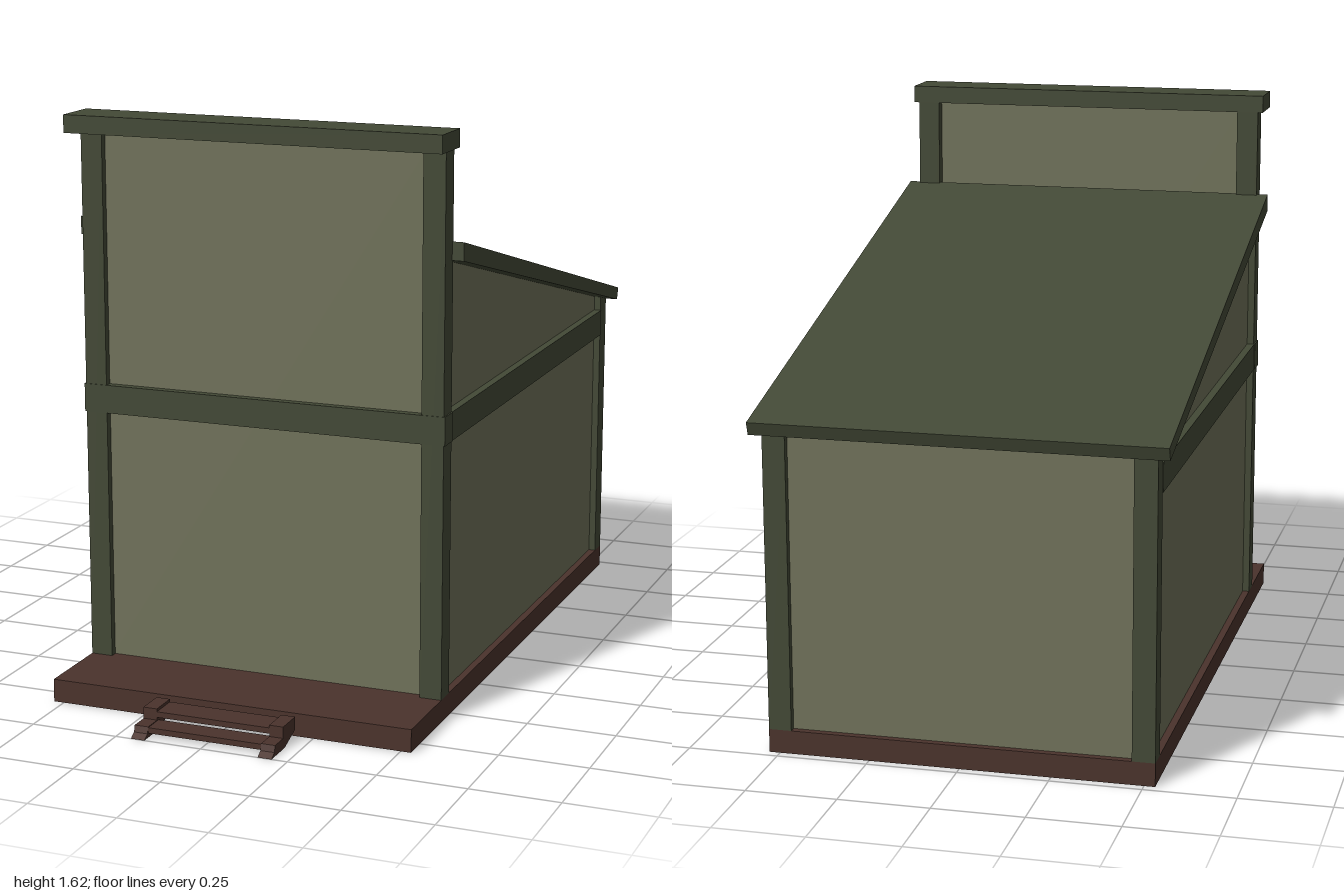
import * as THREE from 'three';

const mat = (name, color) => {
  const m = new THREE.MeshStandardMaterial({ color });
  m.name = name;
  return m;
};

export function createModel() {
  const panel = mat('olive panel', 0x70725a);
  const trim = mat('dark green trim', 0x434936);
  const wood = mat('brown wood', 0x4b332c);
  const model = new THREE.Group();
  model.name = 'shed';

  const add = (name, geo, material) => {
    const mesh = new THREE.Mesh(geo, material);
    mesh.name = name;
    model.add(mesh);
    return mesh;
  };
  // Box given by its limits on each axis
  const box = (name, material, x0, x1, y0, y1, z0, z1) => {
    const geo = new THREE.BoxGeometry(x1 - x0, y1 - y0, z1 - z0);
    geo.translate((x0 + x1) / 2, (y0 + y1) / 2, (z0 + z1) / 2);
    return add(name, geo, material);
  };
  // Side profile of [z, y] points, extruded from x0 to x1
  const profile = (name, material, points, x0, x1) => {
    const shape = new THREE.Shape(points.map(([z, y]) => new THREE.Vector2(-z, y)));
    const geo = new THREE.ExtrudeGeometry(shape, { depth: x1 - x0, bevelEnabled: false });
    geo.rotateY(Math.PI / 2).translate(x0, 0, 0);
    return add(name, geo, material);
  };

  // Porch deck and the open base frame behind it
  const deckTop = 0.065;
  box('porchDeck', wood, -0.53, 0.53, 0, deckTop, 0.52, 0.82);
  box('baseRimBack', wood, -0.53, 0.53, 0, deckTop, -0.975, -0.95);

  // Parts mirrored on both sides
  for (const [side, s] of [['left', 1], ['right', -1]]) {
    const span = (a, b) => (s > 0 ? [a, b] : [-b, -a]);
    const outer = span(0.467, 0.53);
    box(side + 'BaseRim', wood, ...span(0.505, 0.53), 0, deckTop, -0.95, 0.52);
    box(side + 'FrontPost', trim, ...outer, deckTop, 1.575, 0.52, 0.583);
    profile(side + 'BackPost', trim,
      [[-0.975, deckTop], [-0.915, deckTop], [-0.915, 0.91], [-0.975, 0.895]], ...outer);
    box(side + 'Beam', trim, ...span(0.467, 0.532), 0.78, 0.86, -0.916, 0.521);
    profile(side + 'WallPanel', panel,
      [[0.53, 0.05], [0.53, 1.285], [-0.95, 0.9], [-0.95, 0.05]], ...span(0.5, 0.51));
    // Step stringer
    profile(side + 'StepStringer', wood,
      [[1, 0], [0.98, 0.012], [0.975, 0.03], [0.92, 0.03], [0.92, 0.062],
        [0.837, 0.062], [0.837, 0.026], [0.91, 0]], ...span(0.165, 0.205));
  }

  // Front and back walls
  box('frontPanel', panel, -0.475, 0.475, 0.06, 1.58, 0.552, 0.562);
  box('frontBeam', trim, -0.534, 0.534, 0.78, 0.86, 0.52, 0.585);
  box('backPanel', panel, -0.505, 0.505, 0.05, 0.9, -0.955, -0.945);
  box('parapetCap', trim, -0.545, 0.545, 1.573, 1.623, 0.518, 0.655);

  // Sloping roof slab
  profile('roof', trim, [[0.528, 1.273], [0.528, 1.324], [-1, 0.92], [-0.988, 0.884]], -0.563, 0.563);

  // Step treads between the stringers
  box('upperTread', wood, -0.166, 0.166, 0.038, 0.054, 0.837, 0.92);
  box('lowerTread', wood, -0.166, 0.166, 0.012, 0.028, 0.91, 0.975);

  return model;
}
